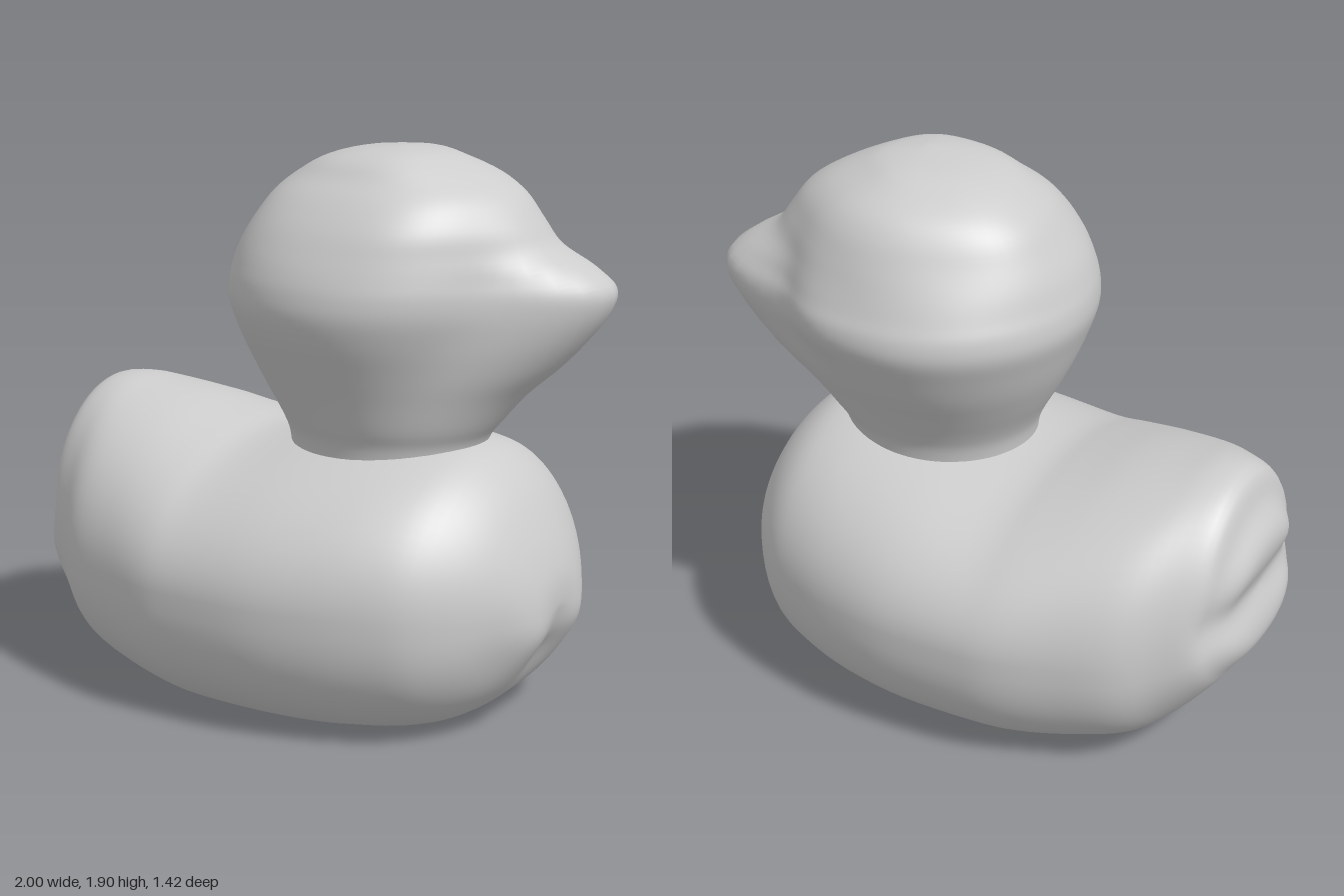
import * as THREE from 'three';
import { mergeVertices } from 'three/addons/utils/BufferGeometryUtils.js';

const SIDES = 72;

// Smoothly resample rows of section measurements
function refine(rows, steps) {
  const out = [];
  const row = (i) => rows[Math.min(Math.max(i, 0), rows.length - 1)];
  for (let i = 0; i < rows.length - 1; i++) {
    for (let s = 0; s < steps; s++) {
      const t = s / steps;
      out.push(row(i).map((p1, k) => {
        const p0 = row(i - 1)[k], p2 = row(i + 1)[k], p3 = row(i + 2)[k];
        return p1 + 0.5 * t * (p2 - p0 + t * (2 * p0 - 5 * p1 + 4 * p2 - p3 + t * (3 * (p1 - p2) + p3 - p0)));
      }));
    }
  }
  out.push(rows[rows.length - 1]);
  return out;
}

// Skin closed rings, point(row, angle) giving each vertex
function loft(rows, point) {
  const positions = [], index = [];
  rows.forEach((row, i) => {
    for (let j = 0; j < SIDES; j++) {
      positions.push(...point(row, (j / SIDES) * Math.PI * 2));
      if (i === rows.length - 1) continue;
      const a = i * SIDES + j, b = i * SIDES + ((j + 1) % SIDES);
      index.push(a, b, b + SIDES, a, b + SIDES, a + SIDES);
    }
  });
  let geometry = new THREE.BufferGeometry();
  geometry.setAttribute('position', new THREE.Float32BufferAttribute(positions, 3));
  geometry.setIndex(index);
  geometry = mergeVertices(geometry, 1e-4);
  geometry.computeVertexNormals();
  return geometry;
}

const power = (v, e) => Math.sign(v) * Math.pow(Math.abs(v), e);
const bell = (v, centre, width) => Math.exp(-(((v - centre) / width) ** 2));

function bodyGeometry() {
  // x, bottom, widest height, top, half width; tail to chest
  const rows = [
    [-1.0, 0.58, 0.58, 0.58, 0],
    [-1.0, 0.48, 0.58, 0.69, 0.13],
    [-0.99, 0.39, 0.57, 0.79, 0.24],
    [-0.94, 0.32, 0.53, 0.88, 0.33],
    [-0.9, 0.26, 0.50, 0.985, 0.385],
    [-0.80, 0.14, 0.48, 1.01, 0.46],
    [-0.68, 0.04, 0.47, 0.995, 0.555],
    [-0.50, -0.02, 0.47, 0.965, 0.625],
    [-0.32, -0.05, 0.47, 0.92, 0.685],
    [-0.17, -0.06, 0.47, 0.895, 0.705],
    [0.10, -0.06, 0.47, 0.93, 0.71],
    [0.32, -0.05, 0.47, 0.95, 0.675],
    [0.50, -0.02, 0.47, 0.95, 0.62],
    [0.64, 0.03, 0.46, 0.92, 0.55],
    [0.76, 0.12, 0.45, 0.825, 0.43],
    [0.85, 0.25, 0.44, 0.68, 0.29],
    [0.905, 0.34, 0.43, 0.54, 0.15],
    [0.92, 0.43, 0.43, 0.43, 0],
  ];
  return loft(refine(rows, 4), ([x, low, mid, top, width], angle) => {
    const c = Math.cos(angle), s = -Math.sin(angle);
    const e = s < 0 ? 2 / 2.4 : 1;
    const z = width * power(c, e);
    let y = mid + (s < 0 ? mid - low : top - mid) * power(s, e);
    // Twin swellings and a central fold on the lower chest
    const fold = 0.022 * Math.cos(z * 18) * bell(y, 0.29, 0.13) * bell(z, 0, 0.3);
    // Shallow hollow across the tail end
    const hollow = 0.045 * bell(y, 0.59, 0.09) * (1 - THREE.MathUtils.smoothstep(x, -1, -0.85));
    const px = x + hollow - fold * THREE.MathUtils.smoothstep(x, 0.55, 0.85);
    // Uneven flat underside
    y = Math.max(y, 0.014 + 0.012 * Math.sin(x * 11 + 1) * Math.cos(z * 9));
    return [px, y, z];
  });
}

function headGeometry() {
  // y, centre x, centre z, radius x, radius z, beak length, beak half angle
  const rows = [
    [0.82, 0.25, 0, 0.33, 0.29, 0, 0.8],
    [0.93, 0.25, 0, 0.34, 0.305, 0.015, 0.8],
    [1.00, 0.25, 0, 0.365, 0.335, 0.04, 0.75],
    [1.10, 0.235, -0.005, 0.405, 0.385, 0.10, 0.65],
    [1.20, 0.225, -0.01, 0.445, 0.44, 0.18, 0.55],
    [1.30, 0.22, -0.01, 0.48, 0.49, 0.24, 0.47],
    [1.39, 0.22, -0.015, 0.51, 0.525, 0.27, 0.42],
    [1.46, 0.225, -0.015, 0.515, 0.525, 0.27, 0.4],
    [1.52, 0.23, -0.01, 0.505, 0.505, 0.215, 0.4],
    [1.59, 0.24, -0.01, 0.49, 0.475, 0.10, 0.45],
    [1.67, 0.26, -0.015, 0.465, 0.435, 0.04, 0.5],
    [1.75, 0.27, -0.03, 0.42, 0.38, 0.01, 0.5],
    [1.81, 0.27, -0.04, 0.345, 0.315, 0, 0.5],
    [1.86, 0.27, -0.02, 0.245, 0.235, 0, 0.5],
    [1.89, 0.29, -0.01, 0.14, 0.15, 0, 0.5],
    [1.905, 0.31, 0.02, 0, 0, 0, 0.5],
  ];
  return loft(refine(rows, 4), ([y, cx, cz, rx, rz, beak, spread], angle) => {
    const turn = Math.atan2(Math.sin(angle - 0.2), Math.cos(angle - 0.2));
    // Beak, plus a fuller cheek on the right
    const bump = beak * Math.exp(-(Math.abs(turn / spread) ** 2.2))
      + 0.03 * bell(turn, 0.85, 0.3) * bell(y, 1.5, 0.2);
    // Soft lobes around the crown
    const lobe = 1 + 0.02 * Math.sin(angle * 5 + 0.6) * THREE.MathUtils.smoothstep(y, 1.5, 1.75);
    return [
      cx + (rx * lobe + bump) * Math.cos(angle),
      y,
      cz - (rz * lobe + bump) * Math.sin(angle),
    ];
  });
}

export function createModel() {
  const group = new THREE.Group();
  group.name = 'duck';
  const grey = new THREE.MeshStandardMaterial({ color: 0xcccccc });
  grey.name = 'light grey';

  const body = new THREE.Mesh(bodyGeometry(), grey);
  body.name = 'body';
  const head = new THREE.Mesh(headGeometry(), grey);
  head.name = 'headWithBeak';
  group.add(body, head);
  return group;
}
